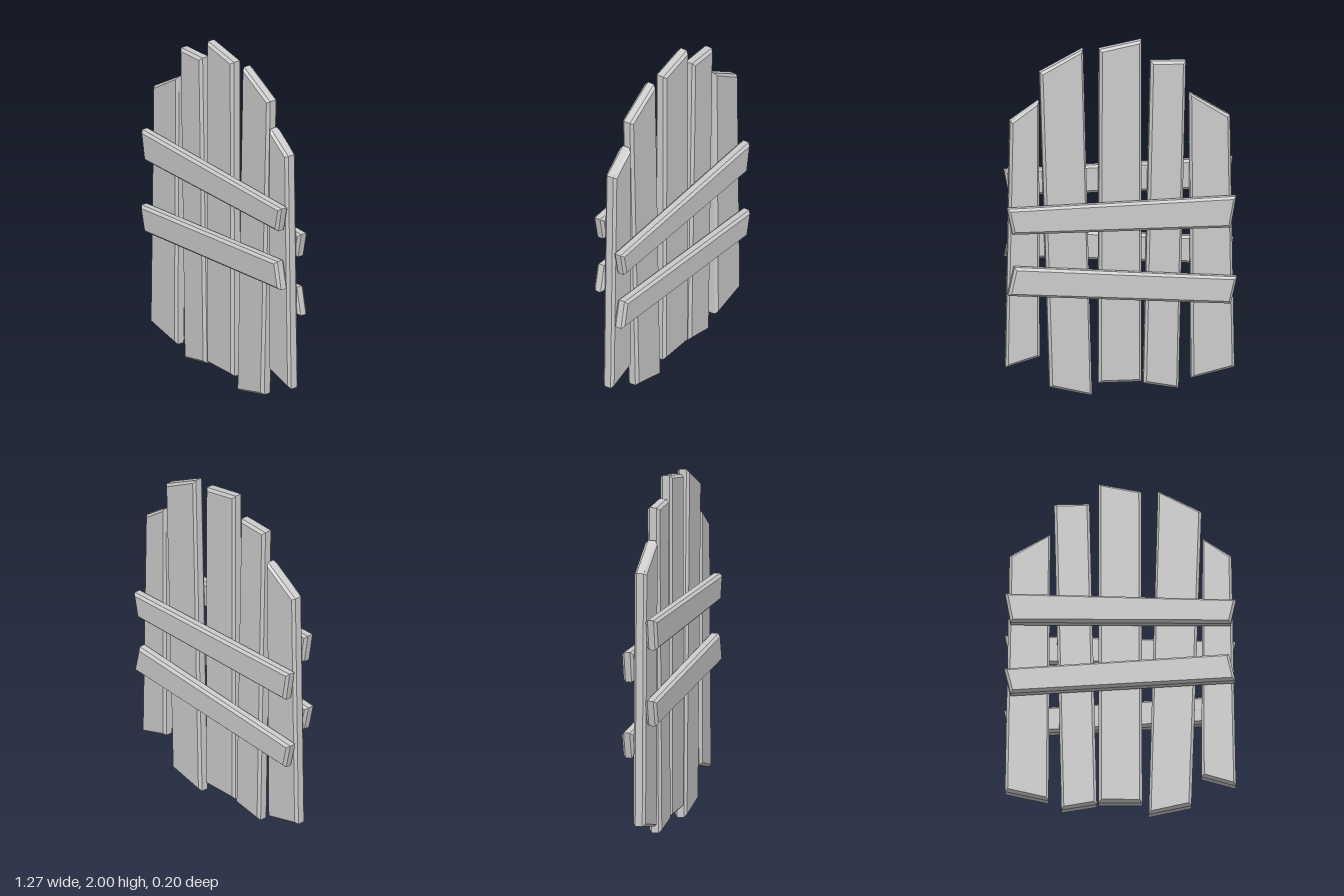
import * as THREE from 'three';

const BEVEL = 0.015;
const material = new THREE.MeshStandardMaterial({ color: 0xcccccc, flatShading: true });

// A chamfered board: four outline corners (counter-clockwise from bottom left) between two depths
function board(name, corners, z0, z1) {
  const shape = new THREE.Shape(corners.map(([x, y]) => new THREE.Vector2(x, y)));
  const geometry = new THREE.ExtrudeGeometry(shape, {
    depth: z1 - z0 - 2 * BEVEL,
    bevelEnabled: true,
    bevelSegments: 1,
    bevelSize: BEVEL,
    bevelThickness: BEVEL,
    bevelOffset: -BEVEL,
  });
  geometry.translate(0, 0, z0 + BEVEL);
  const mesh = new THREE.Mesh(geometry, material);
  mesh.name = name;
  return mesh;
}

export function createModel() {
  const group = new THREE.Group();
  group.name = 'plankBarricade';

  // Upright planks, from the model's right to its left
  const planks = [
    [[-0.635, 0.135], [-0.395, 0.08], [-0.385, 1.695], [-0.61, 1.56]],
    [[-0.325, 0.025], [-0.13, 0.06], [-0.17, 1.88], [-0.365, 1.875]],
    [[-0.12, 0.07], [0.12, 0.07], [0.115, 1.955], [-0.12, 2]],
    [[0.155, 0], [0.39, 0.055], [0.445, 1.835], [0.205, 1.96]],
    [[0.445, 0.23], [0.635, 0.175], [0.61, 1.565], [0.45, 1.675]],
  ];
  planks.forEach((corners, i) => group.add(board(`plank${i + 1}`, corners, -0.035, 0.035)));

  // Crossbars on the front, repeated lower down on the back
  const bars = {
    upper: [[-0.605, 1.13], [0.605, 1.13], [0.635, 1.275], [-0.635, 1.305]],
    lower: [[-0.605, 0.7], [0.63, 0.785], [0.595, 0.945], [-0.64, 0.85]],
  };
  for (const [level, corners] of Object.entries(bars)) {
    group.add(board(`${level}FrontCrossbar`, corners, 0.035, 0.1));
    const back = board(`${level}BackCrossbar`, corners, -0.1, -0.035);
    back.position.y = -0.19;
    group.add(back);
  }
  return group;
}
